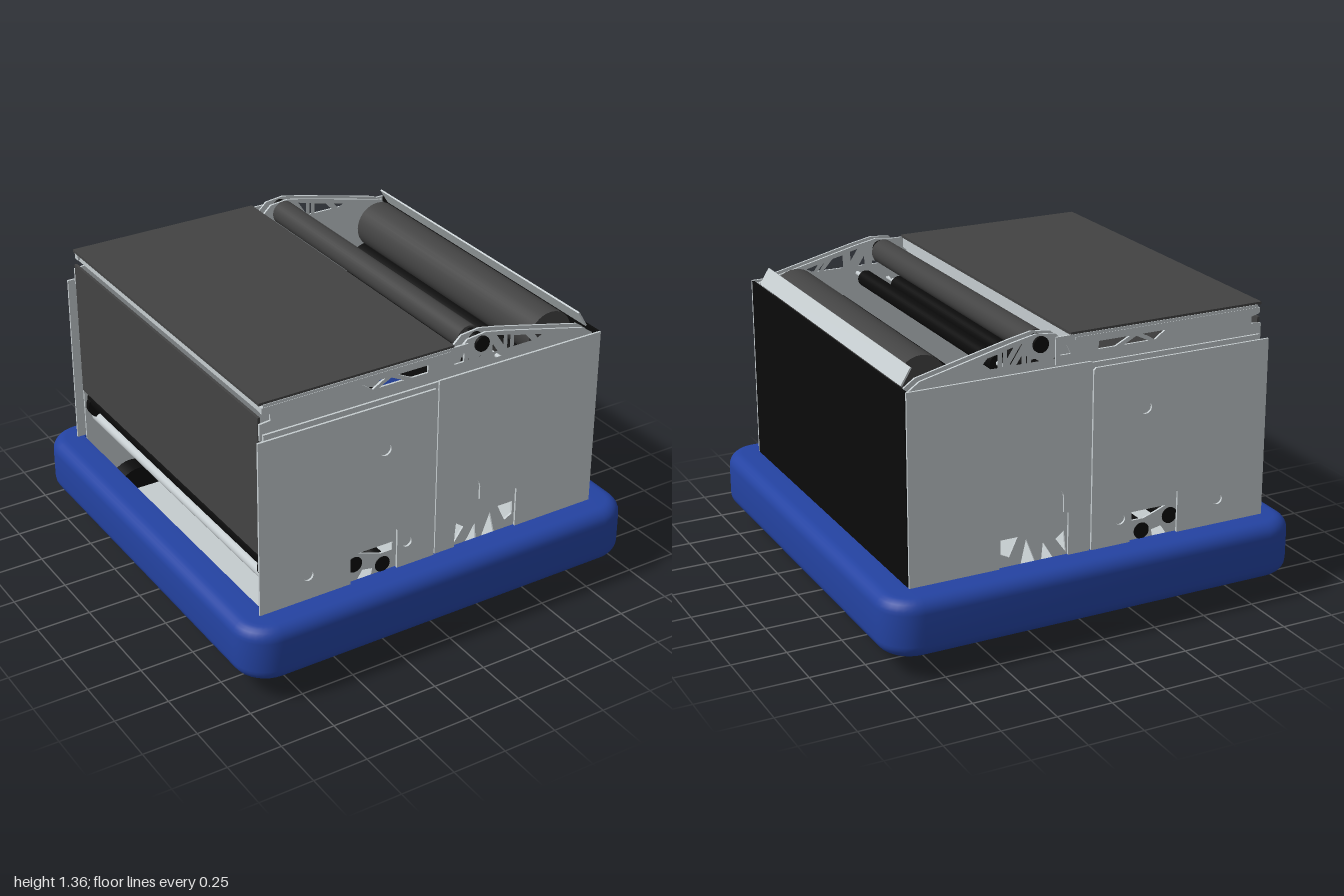
import * as THREE from 'three';
import { toCreasedNormals } from 'three/addons/utils/BufferGeometryUtils.js';

const material = (name, color) => {
  const m = new THREE.MeshStandardMaterial({ color });
  m.name = name;
  return m;
};

export function createModel() {
  const group = new THREE.Group();
  const aluminium = material('aluminium', 0xc5cccf);
  const black = material('black', 0x0b0b0b);
  const darkGrey = material('dark grey', 0x434343);
  const blue = material('bumper blue', 0x2443a2);

  const add = (name, geometry, mat, x = 0, y = 0, z = 0) => {
    const mesh = new THREE.Mesh(geometry, mat);
    mesh.name = name;
    mesh.position.set(x, y, z);
    group.add(mesh);
    return mesh;
  };
  const box = (name, mat, w, h, d, x, y, z) =>
    add(name, new THREE.BoxGeometry(w, h, d), mat, x, y, z);
  // Cylinder lying along z, from z0 to z1
  const roller = (name, mat, r, x, y, z0, z1) =>
    add(name, new THREE.CylinderGeometry(r, r, z1 - z0, 32).rotateX(Math.PI / 2), mat, x, y, (z0 + z1) / 2);

  const polygon = (pts) => pts.map(([x, y]) => new THREE.Vector2(x, y));
  // Upright plate on both sides; a hole is a point list or a circle {x, y, r}
  const sidePlates = (name, pts, holes, z, t = 0.01) => {
    const shape = new THREE.Shape(polygon(pts));
    for (const h of holes) {
      const path = new THREE.Path();
      if (Array.isArray(h)) path.setFromPoints(polygon(h));
      else path.absarc(h.x, h.y, h.r, 0, Math.PI * 2, true);
      shape.holes.push(path);
    }
    const geo = new THREE.ExtrudeGeometry(shape, { depth: t, bevelEnabled: false, curveSegments: 16 });
    add(name + 'Front', geo, aluminium, 0, 0, z - t);
    add(name + 'Back', geo, aluminium, 0, 0, -z);
  };

  // Bumper: a rounded cross-section swept around a rounded rectangle
  const section = [[0.15, 0.1]];
  const edge = 0.06;
  for (let i = 0; i <= 6; i++) {
    const a = (i / 6) * Math.PI / 2;
    section.push([edge - edge * Math.sin(a), 0.1 + edge - edge * Math.cos(a)]);
  }
  for (let i = 0; i <= 6; i++) {
    const a = (i / 6) * Math.PI / 2;
    section.push([edge - edge * Math.cos(a), 0.36 - edge + edge * Math.sin(a)]);
  }
  section.push([0.135, 0.36], [0.15, 0.36]);
  const steps = 8, loop = 4 * (steps + 1), positions = [], index = [];
  for (const [inset, y] of section) {
    const r = Math.max(0.155 - inset, 0.005);
    for (let c = 0; c < 4; c++) {
      const sx = c === 0 || c === 3 ? 1 : -1, sz = c < 2 ? 1 : -1;
      for (let i = 0; i <= steps; i++) {
        const a = (c + i / steps) * Math.PI / 2;
        positions.push(sx * (0.99 - inset - r) + r * Math.cos(a), y, sz * (1 - inset - r) + r * Math.sin(a));
      }
    }
  }
  for (let s = 0; s < section.length; s++) {
    const n = (s + 1) % section.length;
    for (let i = 0; i < loop; i++) {
      const j = (i + 1) % loop;
      const a = s * loop + i, b = s * loop + j, c = n * loop + j, d = n * loop + i;
      index.push(a, d, b, b, d, c);
    }
  }
  const ring = new THREE.BufferGeometry();
  ring.setAttribute('position', new THREE.Float32BufferAttribute(positions, 3));
  ring.setIndex(index);
  add('bumper', toCreasedNormals(ring, 0.7), blue);

  // Base plate and wheels
  box('bellyPlate', aluminium, 1.66, 0.02, 1.69, 0, 0.125, 0);
  for (const x of [-0.67, 0.67]) {
    for (const z of [-0.67, 0.67]) roller('wheel', black, 0.122, x, 0.122, z - 0.045, z + 0.045);
  }

  // Outer side panels with access cut-outs
  sidePlates('rearSidePanel', [
    [-0.87, 0.3], [-0.43, 0.3], [-0.43, 0.55], [-0.42, 0.56], [-0.2, 0.56], [-0.195, 0.55], [-0.195, 0.3],
    [-0.005, 0.3], [-0.005, 1.17], [-0.015, 1.18], [-0.865, 1.18],
  ], [{ x: -0.26, y: 0.965, r: 0.028 }, { x: -0.635, y: 0.475, r: 0.024 }, { x: -0.145, y: 0.475, r: 0.024 }], 0.866);
  const arch = [];
  for (let i = 0; i <= 10; i++) {
    const a = Math.PI * (1 - i / 10);
    arch.push([0.18 + 0.053 * Math.cos(a), 0.625 + 0.053 * Math.sin(a)]);
  }
  sidePlates('frontSidePanel', [
    [0.003, 0.3], [0.105, 0.3], [0.105, 0.555], [0.127, 0.56], ...arch, [0.233, 0.56], [0.42, 0.56],
    [0.43, 0.55], [0.43, 0.3], [0.843, 0.3], [0.843, 1.21], [0.003, 1.21],
  ], [], 0.862);

  // Inner frame plates with braced windows
  sidePlates('innerFrame', [[-0.83, 0.13], [0.83, 0.13], [0.83, 1.2], [-0.83, 1.2]], [
    [[-0.38, 0.49], [-0.21, 0.49], [-0.21, 0.45], [-0.27, 0.45], [-0.33, 0.47]],
    [[-0.4, 0.34], [-0.32, 0.34], [-0.31, 0.39], [-0.36, 0.4]],
    [[0.16, 0.34], [0.23, 0.34], [0.22, 0.44]],
    [[0.25, 0.34], [0.3, 0.47], [0.33, 0.34]],
    [[0.34, 0.485], [0.42, 0.485], [0.42, 0.42], [0.38, 0.4]],
    [[0.11, 0.37], [0.16, 0.44], [0.12, 0.47]],
  ], 0.85);

  // Hood rails
  sidePlates('hoodRail', [
    [-0.84, 1.17], [0.09, 1.17], [0.16, 1.21], [0.16, 1.33], [-0.82, 1.33], [-0.83, 1.29], [-0.79, 1.28], [-0.79, 1.25], [-0.84, 1.245],
  ], [
    [[-0.36, 1.285], [-0.25, 1.285], [-0.31, 1.25]],
    [[-0.28, 1.25], [-0.22, 1.28], [-0.16, 1.25]],
    [[-0.19, 1.285], [-0.04, 1.285], [-0.04, 1.25], [-0.12, 1.25]],
    [[0.09, 1.25], [0.11, 1.29], [0.14, 1.29], [0.14, 1.25]],
  ], 0.838);
  for (const s of [-1, 1]) box('railLedge', aluminium, 0.9, 0.025, 0.03, -0.38, 1.305, s * 0.825);

  // Sloping truss arms, doubled on each side
  for (const z of [0.83, 0.785]) {
    sidePlates('trussArm', [
      [0.08, 1.08], [0.09, 1.28], [0.16, 1.345], [0.25, 1.355], [0.35, 1.335], [0.77, 1.235], [0.82, 1.2], [0.8, 1.08],
    ], [
      [[0.12, 1.22], [0.13, 1.27], [0.17, 1.26], [0.17, 1.22]],
      [[0.29, 1.22], [0.29, 1.31], [0.35, 1.22]],
      [[0.31, 1.325], [0.38, 1.308], [0.38, 1.22]],
      [[0.4, 1.22], [0.4, 1.3], [0.47, 1.285], [0.53, 1.22]],
      [[0.51, 1.275], [0.61, 1.25], [0.55, 1.22]],
      [[0.2, 1.22], [0.21, 1.25], [0.27, 1.25], [0.27, 1.22]],
      [[0.15, 1.11], [0.2, 1.19], [0.3, 1.19], [0.34, 1.11]],
      [[0.38, 1.11], [0.4, 1.19], [0.52, 1.19], [0.54, 1.11]],
    ], z);
  }

  // Cover panels
  box('hoodPlate', darkGrey, 0.93, 0.012, 1.67, -0.375, 1.334, 0);
  box('rearCurtain', darkGrey, 0.012, 0.65, 1.65, -0.835, 0.945, 0);
  box('hoodEdge', aluminium, 0.02, 0.035, 1.65, -0.81, 1.3, 0);
  box('hoodFrontEdge', aluminium, 0.012, 0.1, 1.65, 0.08, 1.275, 0);
  box('endPanel', black, 0.01, 0.91, 1.69, 0.84, 0.755, 0);
  box('deflector', aluminium, 0.008, 0.085, 1.56, 0.805, 1.245, 0).rotation.z = 0.55;

  // Shooter and feed rollers
  roller('topRoller', darkGrey, 0.057, 0.225, 1.298, -0.77, 0.745);
  roller('topRollerShaft', black, 0.035, 0.23, 1.31, -0.842, 0.842);
  roller('flywheelRoller', darkGrey, 0.112, 0.685, 1.17, -0.66, 0.71);
  roller('flywheelShaft', aluminium, 0.014, 0.69, 1.17, -0.83, 0.83);
  roller('lowerFlywheelRoller', black, 0.115, 0.665, 0.94, -0.72, 0.72);
  roller('feedRoller', black, 0.038, 0.345, 1.2, -0.68, 0.68);
  roller('feedRoller', black, 0.038, 0.478, 1.1, -0.68, 0.68);
  roller('feedRoller', black, 0.038, 0.165, 1.14, -0.71, 0.71);
  for (const [x, y] of [[0.345, 1.2], [0.478, 1.1], [0.165, 1.14]]) roller('feedShaft', aluminium, 0.01, x, y, -0.83, 0.83);

  // Intake rollers
  roller('intakeRoller', black, 0.037, -0.4, 0.44, -0.853, 0.853);
  roller('intakeRoller', black, 0.037, -0.26, 0.395, -0.853, 0.853);
  roller('rearRoller', black, 0.045, -0.78, 0.57, -0.82, 0.82);
  roller('rearBar', aluminium, 0.025, -0.78, 0.47, -0.82, 0.82);
  for (const s of [-1, 1]) roller('rearPulley', black, 0.065, -0.77, 0.54, s * 0.8 - 0.015, s * 0.8 + 0.015);
  return group;
}
